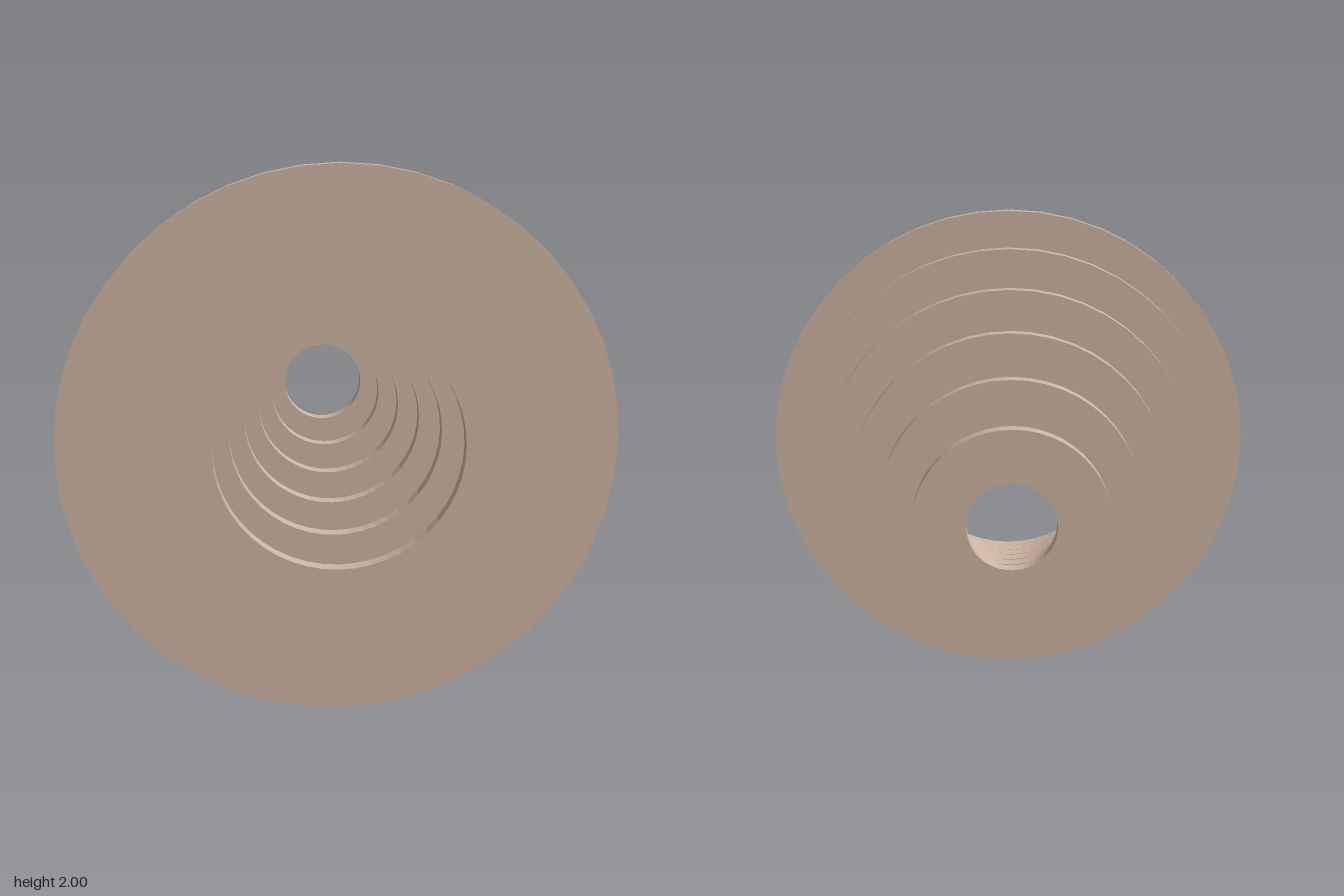
import * as THREE from 'three';

const COUNT = 6;
const THICKNESS = 0.05;
const SPACING = 0.204;

// Flat washer facing z, centred on its own thickness
function washer(outer, inner) {
  const shape = new THREE.Shape().absarc(0, 0, outer, 0, Math.PI * 2, false);
  shape.holes.push(new THREE.Path().absarc(0, 0, inner, 0, Math.PI * 2, true));
  const geometry = new THREE.ExtrudeGeometry(shape, {
    depth: THICKNESS, bevelEnabled: false, curveSegments: 24,
  });
  return geometry.translate(0, 0, -THICKNESS / 2);
}

export function createModel() {
  const model = new THREE.Group();
  model.name = 'taperedRingStack';
  const tan = new THREE.MeshStandardMaterial({ color: 0xcdb4a2, flatShading: true });
  tan.name = 'warm tan';

  // Separate rings shrinking evenly from the front to the back
  for (let i = 0; i < COUNT; i++) {
    const ring = new THREE.Mesh(washer(1 - 0.1284 * i, 0.452 - 0.0578 * i), tan);
    ring.name = `ring${i + 1}`;
    ring.position.set(0, 1, SPACING * ((COUNT - 1) / 2 - i));
    model.add(ring);
  }
  return model;
}
